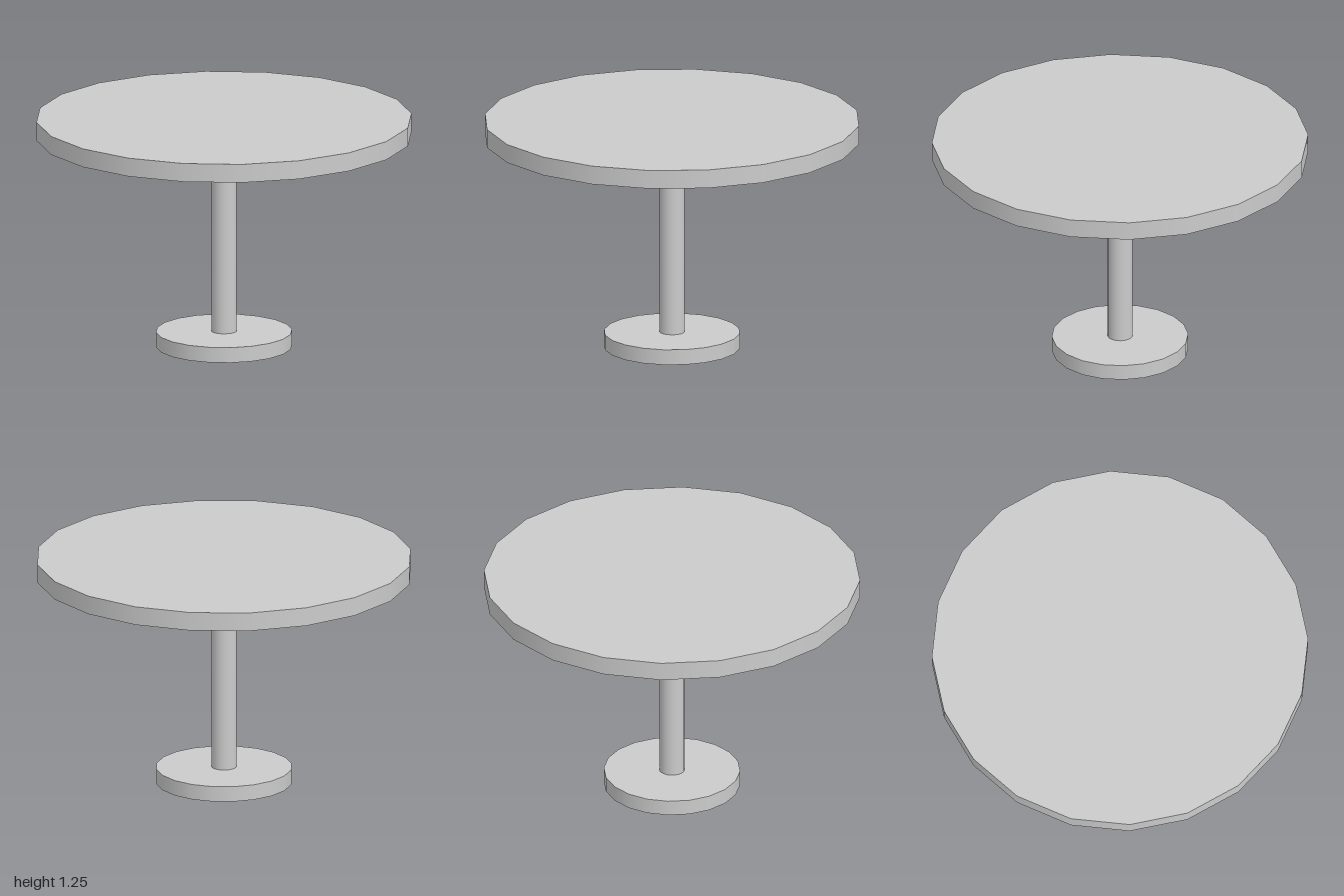
import * as THREE from 'three';

export function createModel() {
  const model = new THREE.Group();
  const material = new THREE.MeshStandardMaterial({ color: 0xcccccc });
  const sides = 20;

  // Upright disc or post spanning bottom..top
  function addRound(name, radius, bottom, top) {
    const geometry = new THREE.CylinderGeometry(radius, radius, top - bottom, sides);
    const mesh = new THREE.Mesh(geometry, material);
    mesh.name = name;
    mesh.position.y = (bottom + top) / 2;
    model.add(mesh);
  }

  addRound('base', 0.3625, 0, 0.083);
  addRound('column', 0.067, 0.083, 1.15);
  addRound('tabletop', 1, 1.15, 1.25);

  return model;
}
